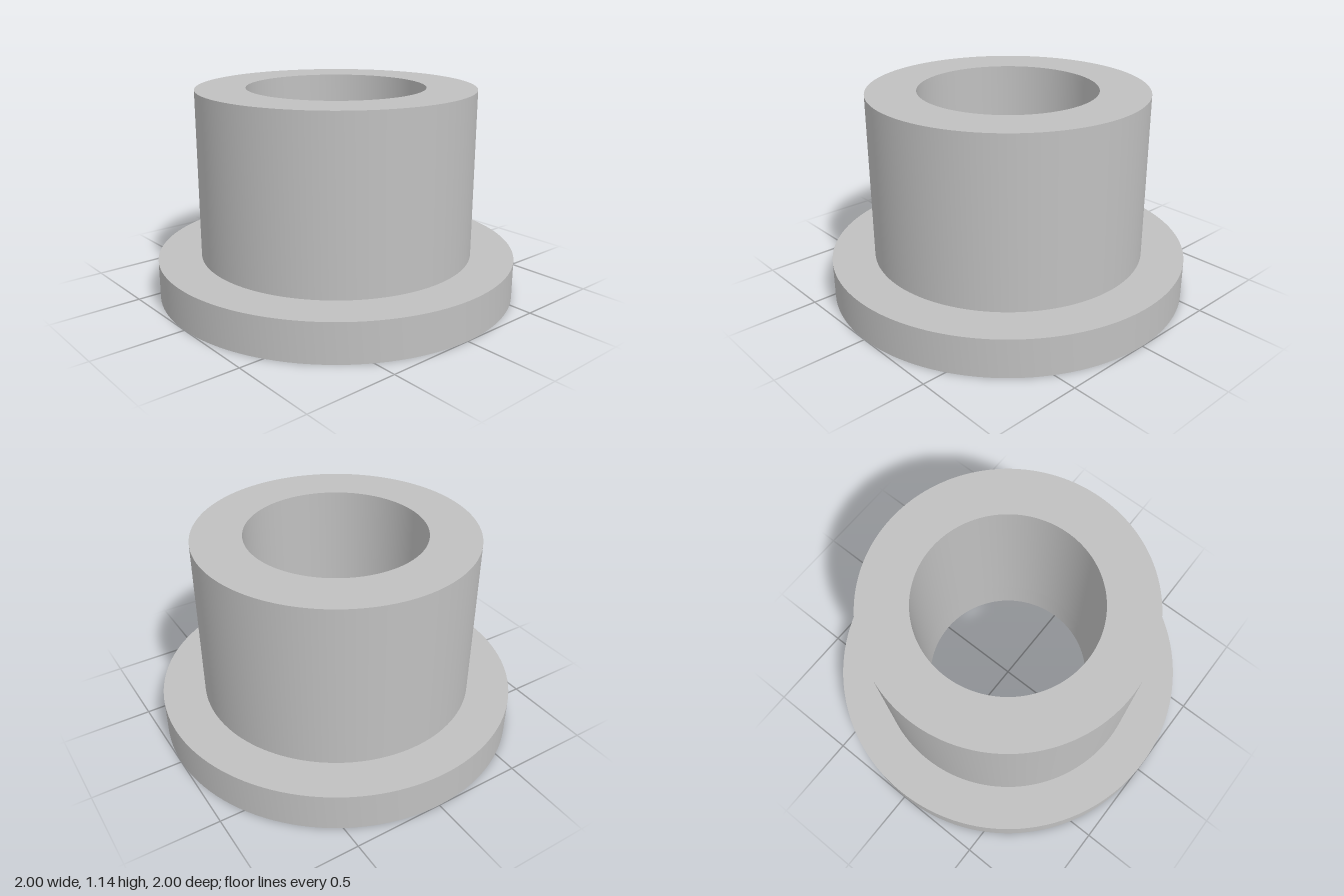
import * as THREE from 'three';
import { toCreasedNormals } from 'three/addons/utils/BufferGeometryUtils.js';

const BORE = 0.49, SLEEVE = 0.763, FLANGE = 1;
const FLANGE_TOP = 0.215, HEIGHT = 1.14;

// Revolve a [radius, height] profile, smooth around and sharp at the rims
function revolve(name, profile, material) {
  const points = profile.map(([r, y]) => new THREE.Vector2(r, y));
  const geometry = toCreasedNormals(new THREE.LatheGeometry(points, 128), 0.6);
  const mesh = new THREE.Mesh(geometry, material);
  mesh.name = name;
  return mesh;
}

export function createModel() {
  const group = new THREE.Group();
  group.name = 'flangedBushing';
  const metal = new THREE.MeshStandardMaterial({ color: 0xc0c0c0 });
  metal.name = 'grey metal';

  // Wide foot ring: lower bore, underside, rim and exposed shoulder
  group.add(revolve('flange', [
    [BORE, FLANGE_TOP], [BORE, 0], [FLANGE, 0], [FLANGE, FLANGE_TOP], [SLEEVE, FLANGE_TOP],
  ], metal));

  // Upright tube: outer wall, top ring and upper bore
  group.add(revolve('sleeve', [
    [SLEEVE, FLANGE_TOP], [SLEEVE, HEIGHT], [BORE, HEIGHT], [BORE, FLANGE_TOP],
  ], metal));

  return group;
}
